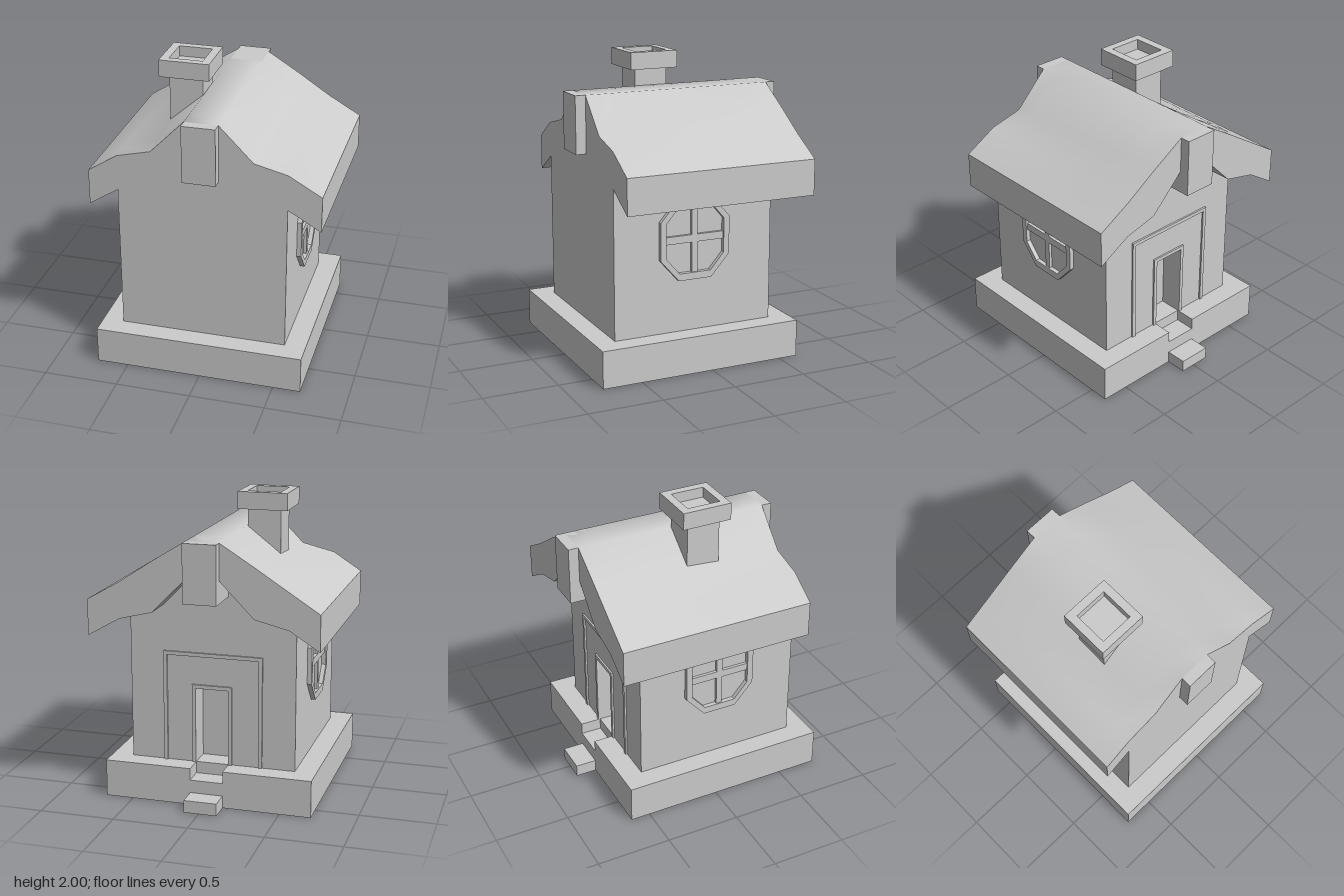
import * as THREE from 'three';

const mat = new THREE.MeshStandardMaterial({ color: 0xcccccc, side: THREE.DoubleSide });
const V = (pts) => pts.map(([x, y]) => new THREE.Vector2(x, y));

function add(parent, name, geo) {
  const m = new THREE.Mesh(geo, mat);
  m.name = name;
  parent.add(m);
  return m;
}

// box given by its limits
function box(parent, name, x0, x1, y0, y1, z0, z1) {
  add(parent, name, new THREE.BoxGeometry(x1 - x0, y1 - y0, z1 - z0))
    .position.set((x0 + x1) / 2, (y0 + y1) / 2, (z0 + z1) / 2);
}

// flat four-cornered panel, corners counter-clockwise from outside
function quad(parent, name, a, b, c, d) {
  const g = new THREE.BufferGeometry();
  g.setAttribute('position', new THREE.Float32BufferAttribute([a, b, c, a, c, d].flat(), 3));
  g.computeVertexNormals();
  add(parent, name, g);
}

// flat polygon in the xy plane; turned about when it faces the back
function panel(parent, name, pts, z, back = false) {
  const p = back ? pts.map(([x, y]) => [-x, y]) : pts;
  const m = add(parent, name, new THREE.ShapeGeometry(new THREE.Shape(V(p))));
  m.position.z = z;
  if (back) m.rotation.y = Math.PI;
}

// slab with an optional hole
function slab(parent, name, outer, hole, depth) {
  const s = new THREE.Shape(V(outer));
  if (hole) s.holes.push(new THREE.Path(V(hole)));
  return add(parent, name, new THREE.ExtrudeGeometry(s, { depth, bevelEnabled: false }));
}

const rect = (x0, x1, y0, y1) => [[x0, y0], [x1, y0], [x1, y1], [x0, y1]];
const group = (parent, name) => {
  const g = new THREE.Group();
  g.name = name;
  parent.add(g);
  return g;
};

// shared limits: walls, doorway, base
const WL = -0.57, WR = 0.545, WF = 0.63, WB = -0.49;
const DL = -0.12, DR = 0.1;
const BL = -0.71, BR = 0.685, BF = 0.77, BB = -0.63, BT = 0.25, STEP = 0.17;

function buildBase(root) {
  const g = group(root, 'base');
  panel(g, 'baseFront', rect(BL, BR, 0, BT), BF);
  panel(g, 'baseBack', [[BL, 0], [BR, 0], [BR, BT], [DR, BT], [DR, STEP], [DL, STEP], [DL, BT], [BL, BT]], BB, true);
  quad(g, 'baseLeft', [BR, 0, BF], [BR, 0, BB], [BR, BT, BB], [BR, BT, BF]);
  quad(g, 'baseRight', [BL, 0, BB], [BL, 0, BF], [BL, BT, BF], [BL, BT, BB]);
  // ledge around the walls, cut by the upper step
  const ledge = [[BL, BF, WL, WB, 1], [WR, BF, BR, WB, 1], [WL, BF, WR, WF, 1], [BL, WB, DL, BB, 1], [DR, WB, BR, BB, 1], [DL, WB, DR, BB, 0]];
  for (const [x0, z0, x1, z1, top] of ledge) {
    const y = top ? BT : STEP;
    quad(g, top ? 'ledge' : 'upperStep', [x0, y, z0], [x1, y, z0], [x1, y, z1], [x0, y, z1]);
  }
  quad(g, 'stepRiser', [DR, STEP, WB], [DL, STEP, WB], [DL, BT, WB], [DR, BT, WB]);
  quad(g, 'stepSide', [DR, STEP, BB], [DR, STEP, WB], [DR, BT, WB], [DR, BT, BB]);
  quad(g, 'stepSide', [DL, STEP, WB], [DL, STEP, BB], [DL, BT, BB], [DL, BT, WB]);
  box(g, 'lowerStep', DL, DR, 0, 0.083, -0.77, BB);
}

// roof profiles from right eave to left eave
const bent = [[-0.765, 1.36], [WL, 1.485], [-0.345, 1.54], [DL, 1.77], [DR, 1.77], [0.325, 1.54], [WR, 1.485], [0.762, 1.36]];
const straight = bent.map(([x, y], i) => (i === 2 || i === 5 ? [x, 1.63] : [x, y]));
const under = bent.map(([x, y]) => [x, y - 0.24]);

function buildWalls(root) {
  const g = group(root, 'walls');
  const gable = under.slice(1, 7).reverse();
  const DT = 0.76, VZ = -0.34;
  panel(g, 'frontWall', [[WL, BT], [WR, BT], ...gable], WF);
  panel(g, 'backWall', [[WL, BT], [DL, BT], [DL, DT], [DR, DT], [DR, BT], [WR, BT], ...gable], WB, true);
  quad(g, 'leftWall', [WR, BT, WF], [WR, BT, WB], [WR, 1.245, WB], [WR, 1.245, WF]);
  quad(g, 'rightWall', [WL, BT, WB], [WL, BT, WF], [WL, 1.245, WF], [WL, 1.245, WB]);
  // recessed doorway
  const d = group(root, 'doorway');
  panel(d, 'doorPanel', rect(DL, DR, BT, DT), VZ, true);
  quad(d, 'doorFloor', [DL, BT, VZ], [DR, BT, VZ], [DR, BT, WB], [DL, BT, WB]);
  quad(d, 'doorTop', [DL, DT, WB], [DR, DT, WB], [DR, DT, VZ], [DL, DT, VZ]);
  quad(d, 'doorJamb', [DL, BT, VZ], [DL, BT, WB], [DL, DT, WB], [DL, DT, VZ]);
  quad(d, 'doorJamb', [DR, BT, WB], [DR, BT, VZ], [DR, DT, VZ], [DR, DT, WB]);
  // thin raised trims: the large surround and the door frame
  for (const [name, x0, x1, top, w] of [['surround', -0.35, 0.32, 1.0, 0.025], ['doorFrame', -0.145, 0.125, 0.785, 0.025]]) {
    const u = [[x0, BT], [x0 + w, BT], [x0 + w, top - w], [x1 - w, top - w], [x1 - w, BT], [x1, BT], [x1, top], [x0, top]];
    slab(d, name, u, null, 0.012).position.z = WB - 0.012;
  }
}

function buildRoof(root) {
  const g = group(root, 'roof');
  const F = WF, B = -0.69, n = bent.length, rows = 8, pos = [], idx = [];
  // top skin: sagging at the front, straightening towards the back wall
  for (let r = 0; r <= rows + 1; r++) {
    const t = Math.min(r / rows, 1);
    const z = r > rows ? B : F + (WB - F) * t;
    bent.forEach(([x, y], i) => pos.push(x, y + (straight[i][1] - y) * t, z));
    if (r) for (let i = 0; i < n - 1; i++) {
      const a = (r - 1) * n + i, b = r * n + i;
      idx.push(a, a + 1, b, a + 1, b + 1, b);
    }
  }
  const top = new THREE.BufferGeometry();
  top.setAttribute('position', new THREE.Float32BufferAttribute(pos, 3));
  top.setIndex(idx);
  top.computeVertexNormals();
  add(g, 'roofTop', top);
  // gable ends, underside and eaves
  panel(g, 'frontGable', [...under, ...[...bent].reverse()], F);
  panel(g, 'backGable', [...under, ...[...straight].reverse()], B, true);
  for (let i = 0; i < n - 1; i++) {
    const [p, q] = [under[i], under[i + 1]];
    quad(g, 'roofUnderside', [...p, B], [...q, B], [...q, F], [...p, F]);
  }
  const [xr, xl] = [bent[0][0], bent[n - 1][0]];
  quad(g, 'rightEave', [xr, 1.12, B], [xr, 1.12, F], [xr, 1.36, F], [xr, 1.36, B]);
  quad(g, 'leftEave', [xl, 1.12, F], [xl, 1.12, B], [xl, 1.36, B], [xl, 1.36, F]);
  // ridge beam ends
  box(g, 'frontBeam', DL, DR, 1.385, 1.77, F, 0.7);
  box(g, 'backBeam', DL, DR, 1.385, 1.77, -0.757, WB);
}

function buildChimney(root) {
  const g = group(root, 'chimney');
  box(g, 'chimneyShaft', -0.35, -0.125, 1.4, 1.93, -0.045, 0.182);
  const cap = slab(g, 'chimneyCap', rect(-0.405, -0.07, -0.235, 0.1), rect(-0.35, -0.125, -0.182, 0.045), 0.115);
  cap.rotation.x = -Math.PI / 2;
  cap.position.y = 1.885;
}

// eight-sided outline: half width, half height, half top edge, half side edge
const octagon = (w, h, a, b) => [[a, -h], [w, -b], [w, b], [a, h], [-a, h], [-w, b], [-w, -b], [-a, -h]];

function buildWindow(root, name, x, side) {
  const g = group(root, name);
  slab(g, 'windowFrame', octagon(0.245, 0.272, 0.115, 0.125), octagon(0.205, 0.225, 0.11, 0.115), 0.03);
  box(g, 'uprightBar', -0.02, 0.02, -0.225, 0.225, 0, 0.02);
  box(g, 'crossBar', -0.205, 0.205, -0.025, 0.025, 0, 0.02);
  g.rotation.y = side * Math.PI / 2;
  g.position.set(x, 0.873, 0.075);
}

export function createModel() {
  const root = new THREE.Group();
  root.name = 'cottage';
  buildBase(root);
  buildWalls(root);
  buildRoof(root);
  buildChimney(root);
  buildWindow(root, 'leftWindow', WR, 1);
  buildWindow(root, 'rightWindow', WL, -1);
  return root;
}
